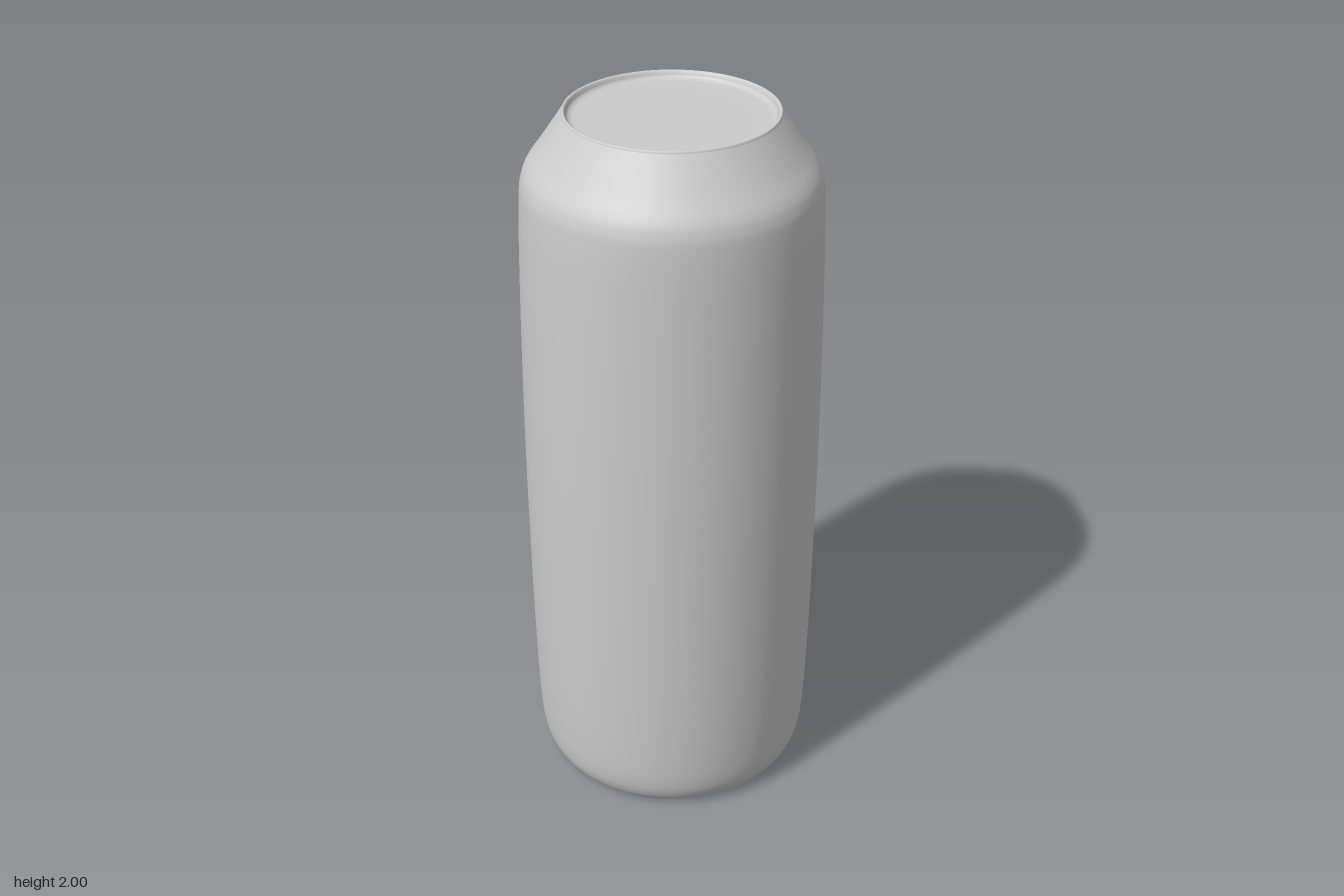
import * as THREE from 'three';

const SEGMENTS = 96;
const v = ([r, y]) => new THREE.Vector2(r, y);

// Smooth curve through a few [radius, height] points
const smooth = (pts, n) => new THREE.SplineCurve(pts.map(v)).getPoints(n);

function lathe(name, points, material) {
  const mesh = new THREE.Mesh(new THREE.LatheGeometry(points, SEGMENTS), material);
  mesh.name = name;
  return mesh;
}

export function createModel() {
  const can = new THREE.Group();
  can.name = 'can';
  const metal = new THREE.MeshStandardMaterial({ color: 0xcccccc });

  // Slightly barrelled wall with a rounded foot and shoulder
  const wall = smooth([
    [0.335, 0], [0.352, 0.009], [0.372, 0.035], [0.387, 0.08], [0.395, 0.16], [0.401, 0.32],
    [0.406, 0.6], [0.409, 1.0], [0.407, 1.35], [0.402, 1.65], [0.397, 1.78], [0.39, 1.825],
    [0.376, 1.857], [0.345, 1.901], [0.31, 1.953], [0.283, 1.994],
  ], 90);
  can.add(lathe('body', wall, metal));

  // Thin rounded lip around the top
  const lip = smooth([[0.283, 1.994], [0.281, 1.999], [0.277, 2], [0.273, 1.997], [0.269, 1.988]], 12);
  can.add(lathe('rim', lip, metal));

  // Shallow recessed lid
  const lid = smooth([[0.269, 1.988], [0.262, 1.982], [0.24, 1.979], [0.12, 1.978], [0, 1.978]], 20);
  can.add(lathe('lid', lid, metal));

  // Inward dome under the can, from centre out to the foot
  const base = smooth([
    [0, 0.1], [0.1, 0.094], [0.2, 0.074], [0.27, 0.046], [0.31, 0.018], [0.325, 0.004], [0.335, 0],
  ], 30);
  can.add(lathe('baseDome', base, metal));

  return can;
}
